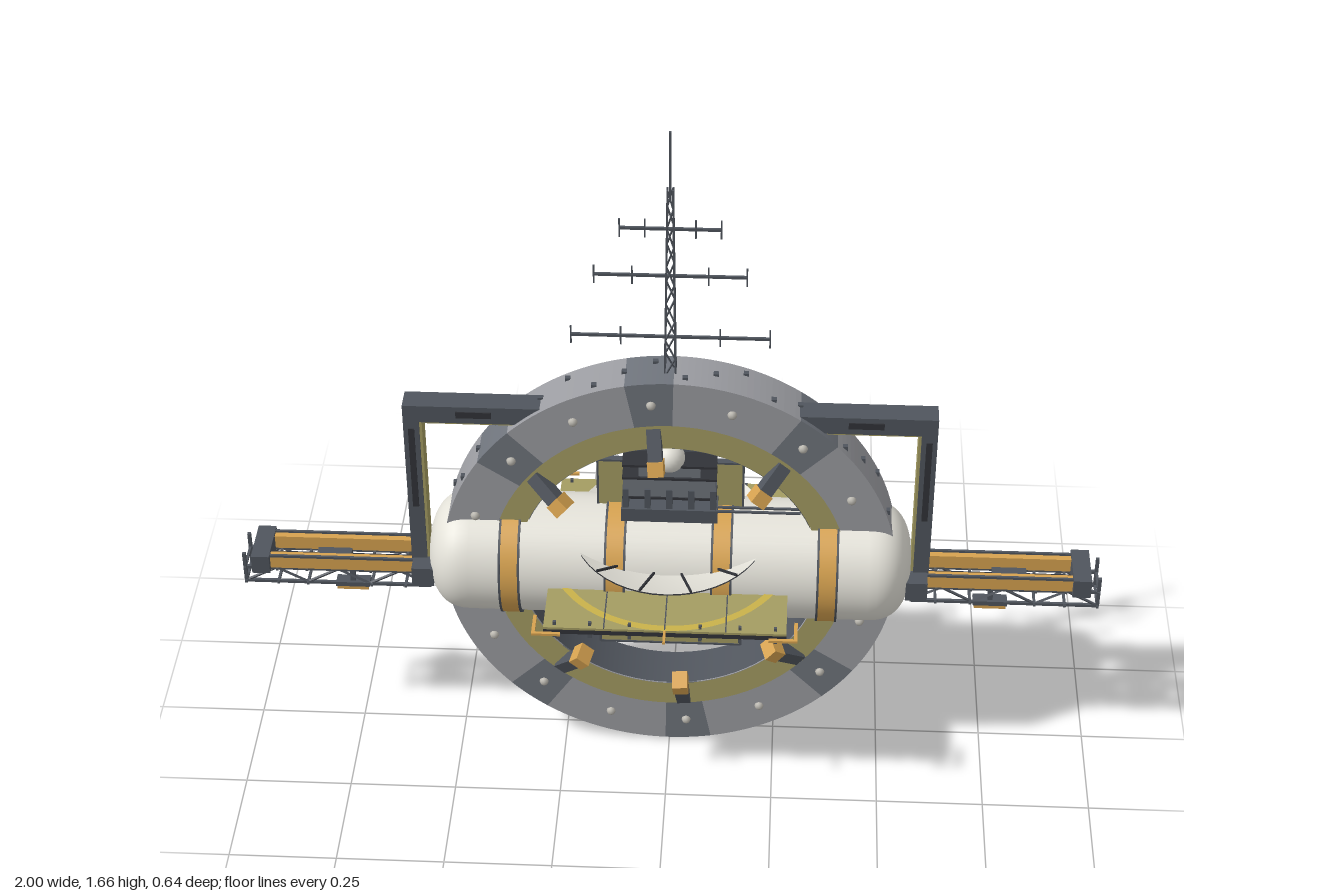
import * as THREE from 'three';

const mat = (name, color) => {
  const m = new THREE.MeshStandardMaterial({ color, side: THREE.DoubleSide });
  m.name = name;
  return m;
};

export function createModel() {
  const M = {
    hull: mat('hull white', 0xe4e2d9),
    ring: mat('ring grey', 0x9b9ca1),
    joint: mat('joint grey', 0x6f747c),
    frame: mat('frame grey', 0x50555d),
    dark: mat('dark metal', 0x313338),
    gold: mat('gold foil', 0xd6a250),
    olive: mat('olive panel', 0xa49c62),
    yellow: mat('marking yellow', 0xc9b24a),
    pale: mat('pale grey', 0xb9b6ae),
  };
  const root = new THREE.Group();
  const CY = 0.535;
  const add = (name, geo, m, x = 0, y = 0, z = 0, parent = root) => {
    const o = new THREE.Mesh(geo, m);
    o.name = name;
    o.position.set(x, y, z);
    parent.add(o);
    return o;
  };
  const box = (name, m, w, h, d, x, y, z, parent) =>
    add(name, new THREE.BoxGeometry(w, h, d), m, x, y, z, parent);
  // square bar between two points
  const bar = (name, m, a, b, t, parent) => {
    const p = new THREE.Vector3(...a), q = new THREE.Vector3(...b);
    const o = add(name, new THREE.BoxGeometry(t, t, p.distanceTo(q)), m, 0, 0, 0, parent);
    o.position.copy(p).add(q).multiplyScalar(0.5);
    o.quaternion.setFromUnitVectors(new THREE.Vector3(0, 0, 1), q.sub(p).normalize());
    return o;
  };
  const group = (name) => {
    const g = new THREE.Group();
    g.name = name;
    root.add(g);
    return g;
  };

  // Habitat ring: alternating wide light and narrow dark segments
  const R = 0.525, r = 0.35, D = 0.11, rad = Math.PI / 180;
  const ring = group('ring');
  ring.position.y = CY;
  const segment = (name, m, a0, a1) => {
    const s = new THREE.Shape();
    s.absarc(0, 0, R, a0 * rad, a1 * rad, false);
    s.absarc(0, 0, r, a1 * rad, a0 * rad, true);
    s.closePath();
    add(name, new THREE.ExtrudeGeometry(s, { depth: D, bevelEnabled: false, curveSegments: 10 }), m, 0, 0, -D / 2, ring);
  };
  for (let i = 0; i < 8; i++) {
    const a = 5 + i * 45;
    segment('ringJoint', M.joint, a - 6, a + 6);
    segment('ringSegment', M.ring, a + 6, a + 39);
    // floodlight reaching forward and inward
    const arm = new THREE.Group();
    arm.name = 'floodlight';
    arm.rotation.z = a * rad;
    ring.add(arm);
    bar('lightArm', M.frame, [0.4, 0, 0.05], [0.335, 0, 0.085], 0.032, arm);
    const lamp = box('lamp', M.gold, 0.034, 0.036, 0.045, 0.32, 0, 0.09, arm);
    lamp.rotation.y = 0.4;
    for (const k of [0, 22.5]) {
      const t = (a + k) * rad;
      add('faceStud', new THREE.SphereGeometry(0.011, 8, 6), M.pale, 0.467 * Math.cos(t), 0.467 * Math.sin(t), D / 2, ring);
    }
  }
  add('ringLining', new THREE.CylinderGeometry(0.348, 0.348, D, 80, 1, true), M.frame, 0, 0, 0, ring).rotation.x = Math.PI / 2;
  add('ringWalkway', new THREE.RingGeometry(r, 0.412, 80), M.olive, 0, 0, D / 2 + 0.002, ring);
  for (let i = 0; i < 48; i++) {
    const t = (i + 0.5) * 7.5 * rad;
    box('rimStud', M.frame, 0.012, 0.012, 0.012, R * Math.cos(t), R * Math.sin(t), (i % 3 - 1) * 0.03, ring);
  }

  // Main tank with rounded ends
  const prof = [], n = 12, cap = 0.1, TR = 0.14;
  for (let i = 0; i <= n; i++) {
    const t = (i / n) * Math.PI / 2;
    prof.push(new THREE.Vector2(TR * Math.sin(t) ** 0.8, -0.46 - cap * Math.cos(t) ** 0.8));
  }
  prof[0].x = 0;
  for (let i = n; i >= 0; i--) prof.push(new THREE.Vector2(prof[i].x, -prof[i].y));
  add('tank', new THREE.LatheGeometry(prof, 48), M.hull, 0, CY, 0).rotation.z = Math.PI / 2;
  for (const x of [-0.365, -0.122, 0.122, 0.365]) {
    add('tankBand', new THREE.CylinderGeometry(0.145, 0.145, 0.042, 48), M.gold, x, CY, 0).rotation.z = Math.PI / 2;
    for (const s of [-1, 1])
      add('bandEdge', new THREE.CylinderGeometry(0.146, 0.146, 0.005, 48), M.frame, x + s * 0.022, CY, 0).rotation.z = Math.PI / 2;
  }

  // Shallow dish wrapped around the tank: dark beneath, pale inside, ribbed
  const dish = group('dish');
  dish.position.y = 0.558;
  dish.scale.x = 0.9;
  const bowl = (lift) => Array.from({ length: 9 }, (_, i) => new THREE.Vector2(0.25 * i / 8, lift + 0.058 * (i / 8) ** 2));
  add('dishUnderside', new THREE.LatheGeometry(bowl(0), 48), M.dark, 0, 0, 0, dish);
  add('dishInside', new THREE.LatheGeometry(bowl(0.004).reverse(), 48), M.hull, 0, 0, 0, dish);
  for (let i = 0; i < 12; i++) {
    const t = (i + 0.5) * 30 * rad, c = Math.cos(t), s = Math.sin(t);
    bar('dishRib', M.dark, [0.12 * c, 0.02, 0.12 * s], [0.25 * c, 0.064, 0.25 * s], 0.005, dish);
  }

  // Horizontal platform: olive deck over dark underside
  box('deckUnderside', M.dark, 0.55, 0.012, 0.555, 0, 0.524, 0);
  box('deck', M.olive, 0.55, 0.006, 0.555, 0, 0.533, 0);
  add('deckMarking', new THREE.RingGeometry(0.262, 0.28, 64), M.yellow, 0, 0.538, 0).rotation.x = -Math.PI / 2;
  for (const sz of [-1, 1]) {
    for (const x of [-0.138, 0, 0.138]) box('deckSeam', M.frame, 0.003, 0.003, 0.13, x, 0.537, sz * 0.212);
    for (const x of [-0.25, -0.17, -0.08, 0.08, 0.17, 0.25]) {
      box('deckPost', M.frame, 0.007, 0.035, 0.007, x, 0.527, sz * 0.265);
      box('deckBeam', M.frame, 0.008, 0.014, 0.13, x, 0.514, sz * 0.212);
    }
    box('deckTick', M.gold, 0.006, 0.006, 0.04, 0, 0.535, sz * 0.3);
    for (const sx of [-1, 1]) {
      box('cornerMark', M.gold, 0.065, 0.006, 0.008, sx * 0.267, 0.535, sz * 0.299);
      box('cornerMark', M.gold, 0.008, 0.006, 0.065, sx * 0.296, 0.535, sz * 0.27);
    }
  }

  // Upright panel behind the equipment
  box('uprightPanel', M.olive, 0.335, 0.54, 0.012, 0, 0.53, -0.012);
  for (const s of [-1, 1]) {
    box('panelEdge', M.frame, 0.005, 0.54, 0.016, s * 0.167, 0.53, -0.012);
    box('panelEdge', M.frame, 0.335, 0.005, 0.016, 0, 0.53 + s * 0.27, -0.012);
  }

  // Equipment rack on the tank
  box('rackBase', M.frame, 0.22, 0.035, 0.07, 0, 0.69, 0.02);
  box('rackTop', M.joint, 0.21, 0.05, 0.05, 0, 0.76, 0.02);
  box('rackCabinet', M.joint, 0.14, 0.035, 0.045, 0, 0.81, 0.02);
  box('rackBack', M.frame, 0.21, 0.14, 0.02, 0, 0.755, -0.032);
  for (const x of [-0.1, -0.05, 0, 0.05, 0.1]) box('rackPost', M.frame, 0.014, 0.08, 0.05, x, 0.72, 0.025);
  for (const y of [0.735, 0.79, 0.825]) box('rackRail', M.dark, 0.215, 0.006, 0.056, 0, y, 0.02);
  add('sensorDome', new THREE.SphereGeometry(0.035, 20, 14), M.hull, 0, 0.84, 0.03);
  for (const y of [0.697, 0.709]) box('sideRail', M.frame, 0.19, 0.004, 0.006, 0.205, y, 0.04);

  // Gantry frame and booms, mirrored left and right
  box('gantryBeam', M.frame, 1.2, 0.044, 0.056, 0, 0.95, 0.015);
  for (const s of [-1, 1]) {
    const Z = 0.015;
    box('gantryPost', M.frame, 0.036, 0.45, 0.056, s * 0.582, 0.745, Z);
    box('gantryFoot', M.frame, 0.05, 0.05, 0.12, s * 0.572, 0.512, 0.025);
    box('postLining', M.olive, 0.006, 0.4, 0.046, s * 0.561, 0.73, Z);
    box('beamLining', M.olive, 0.3, 0.006, 0.046, s * 0.41, 0.925, Z);
    for (const f of [-1, 1]) {
      box('postSlot', M.dark, 0.014, 0.22, 0.004, s * 0.582, 0.8, Z + f * 0.029);
      box('beamSlot', M.dark, 0.08, 0.016, 0.004, s * 0.44, 0.952, Z + f * 0.029);
    }
    const boom = group('boom');
    for (const z of [-0.037, 0.037]) {
      box('boomRail', M.gold, 0.39, 0.034, 0.018, s * 0.755, 0.513, z, boom);
      box('railCap', M.frame, 0.39, 0.006, 0.006, s * 0.755, 0.532, z * 1.25, boom);
      // open truss below each rail
      const N = 6, x0 = 0.56, dx = 0.435 / N;
      bar('trussTop', M.frame, [s * x0, 0.49, z], [s * 0.997, 0.49, z], 0.007, boom);
      bar('trussBottom', M.frame, [s * x0, 0.45, z], [s * 0.997, 0.45, z], 0.007, boom);
      for (let i = 0; i < N; i++) {
        const xa = x0 + i * dx, up = i % 2;
        bar('trussDiagonal', M.frame, [s * xa, up ? 0.49 : 0.45, z], [s * (xa + dx), up ? 0.45 : 0.49, z], 0.005, boom);
      }
      bar('trussEnd', M.frame, [s * 0.996, 0.45, z], [s * 0.996, 0.53, z], 0.008, boom);
    }
    for (const x of [0.62, 0.7, 0.85, 0.92, 0.996]) {
      bar('trussCross', M.frame, [s * x, 0.45, -0.045], [s * x, 0.45, 0.045], 0.006, boom);
      bar('trussCross', M.frame, [s * x, 0.49, -0.045], [s * x, 0.49, 0.045], 0.006, boom);
    }
    box('boomSpine', M.dark, 0.4, 0.01, 0.012, s * 0.77, 0.5, 0, boom);
    box('boomEnd', M.frame, 0.042, 0.048, 0.118, s * 0.955, 0.513, 0, boom);
    box('boomTrolley', M.frame, 0.08, 0.018, 0.04, s * 0.79, 0.5, 0, boom);
    box('padStem', M.frame, 0.012, 0.06, 0.012, s * 0.75, 0.455, 0, boom);
    box('padTop', M.frame, 0.08, 0.008, 0.034, s * 0.75, 0.426, 0, boom);
    box('pad', M.gold, 0.074, 0.01, 0.032, s * 0.75, 0.418, 0, boom);
  }

  // Lattice mast with crossbar aerials
  const mast = group('mast');
  const y0 = 1.05, y1 = 1.53, steps = 10;
  const corners = [[1, 1], [1, -1], [-1, -1], [-1, 1]];
  const at = (k, t) => [corners[k % 4][0] * (0.012 - 0.006 * t), y0 + (y1 - y0) * t, corners[k % 4][1] * (0.012 - 0.006 * t)];
  for (let k = 0; k < 4; k++) {
    bar('mastLeg', M.frame, at(k, 0), at(k, 1), 0.004, mast);
    for (let i = 0; i < steps; i++)
      bar('mastBrace', M.frame, at(k + (i % 2), i / steps), at(k + 1 - (i % 2), (i + 1) / steps), 0.003, mast);
  }
  bar('mastTip', M.frame, [0, 1.5, 0], [0, 1.67, 0], 0.005, mast);
  for (const [y, w] of [[1.15, 0.22], [1.31, 0.167], [1.43, 0.11]]) {
    bar('aerial', M.frame, [-w, y, 0], [w, y, 0], 0.006, mast);
    for (const f of [-1, -0.5, 0.5, 1])
      bar('aerialTick', M.frame, [f * w, y - 0.023, 0], [f * w, y + 0.023, 0], 0.0035, mast);
  }
  return root;
}
